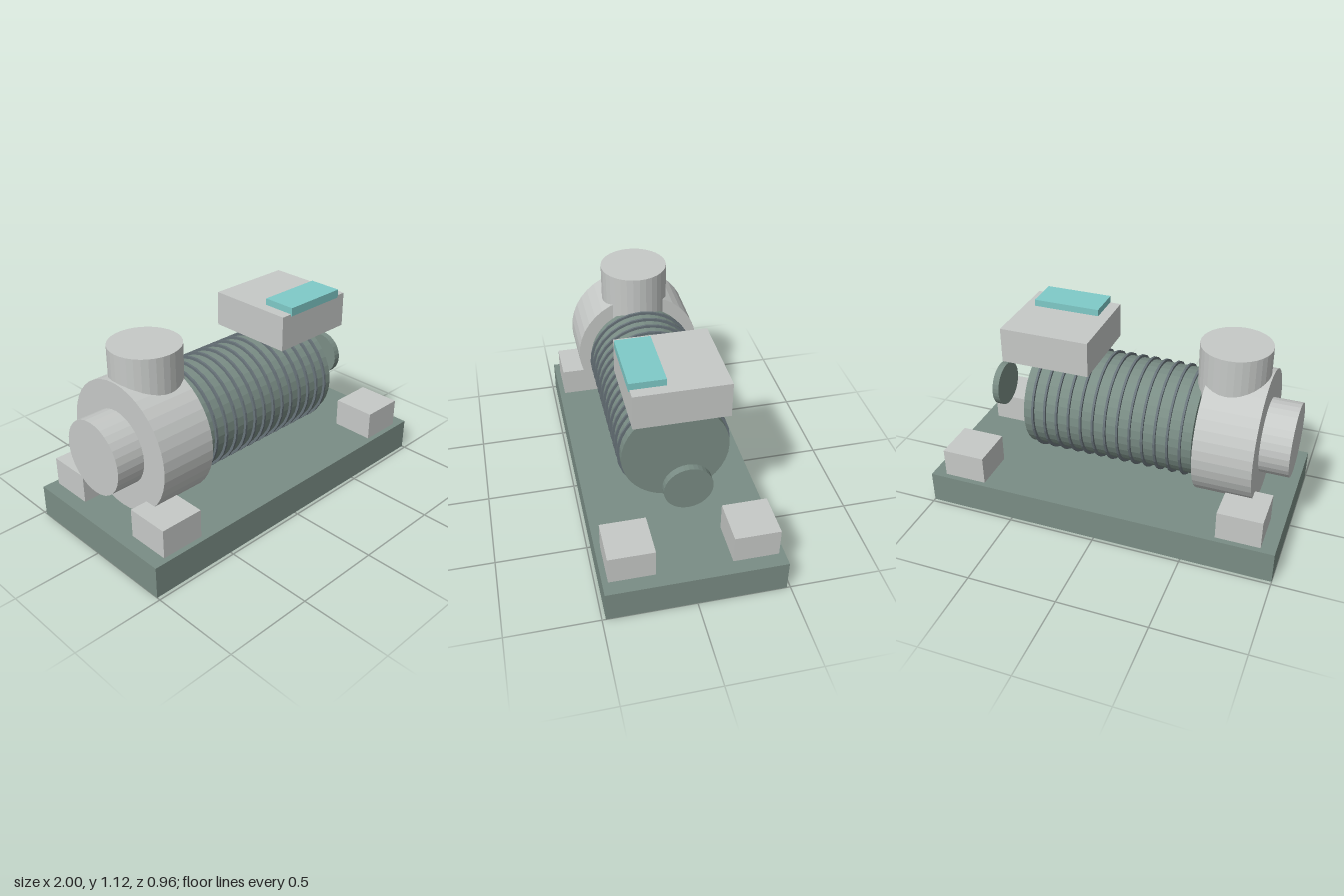
import * as THREE from 'three';

const mat = (name, color) => {
  const m = new THREE.MeshStandardMaterial({ color, flatShading: true });
  m.name = name;
  return m;
};

export function createModel() {
  const green = mat('grey green paint', 0x7a8d85);
  const light = mat('light grey metal', 0xc6c9c7);
  const dark = mat('dark grey metal', 0x69747a);
  const teal = mat('teal panel', 0x7fcac8);
  const model = new THREE.Group();
  model.name = 'motorBlower';
  const axisY = 0.582;

  const add = (name, geometry, material, x, y, z) => {
    const mesh = new THREE.Mesh(geometry, material);
    mesh.name = name;
    mesh.position.set(x, y, z);
    model.add(mesh);
    return mesh;
  };
  // Box given by its limits on each axis
  const box = (name, material, [x0, x1], [y0, y1], [z0, z1]) =>
    add(name, new THREE.BoxGeometry(x1 - x0, y1 - y0, z1 - z0), material,
      (x0 + x1) / 2, (y0 + y1) / 2, (z0 + z1) / 2);
  // Cylinder along x, on the shaft axis
  const drum = (name, material, r, x0, x1, sides = 36) =>
    add(name, new THREE.CylinderGeometry(r, r, x1 - x0, sides).rotateZ(-Math.PI / 2),
      material, (x0 + x1) / 2, axisY, 0);

  // Base slab and four mounting blocks
  box('base', green, [-1, 1], [0, 0.182], [-0.48, 0.48]);
  for (const sx of [-1, 1]) {
    for (const sz of [-1, 1]) {
      const block = box('mountingBlock', light, [0.675, 0.92], [0.182, 0.345], [0.203, 0.449]);
      block.position.x *= sx;
      block.position.z *= sz;
    }
  }

  // Motor body with cooling fins
  drum('motorBody', green, 0.29, -0.48, 0.476);
  for (let i = 0; i < 13; i++) {
    const x = -0.42 + i * 0.07;
    drum('coolingFin', dark, 0.305, x - 0.006, x + 0.006, 28);
  }
  drum('shaftDisc', green, 0.127, 0.717, 0.755, 32);

  // Blower housing, inlet and outlet
  drum('blowerHousing', light, 0.358, -0.82, -0.502, 40);
  drum('inlet', light, 0.203, -0.98, -0.8, 32);
  add('outlet', new THREE.CylinderGeometry(0.19, 0.19, 0.28, 32), light, -0.62, 0.952, 0);

  // Terminal box with panel
  box('terminalBox', light, [0.108, 0.604], [0.884, 1.08], [-0.248, 0.25]);
  box('controlPanel', teal, [0.17, 0.546], [1.07, 1.117], [0.067, 0.256]);

  return model;
}
